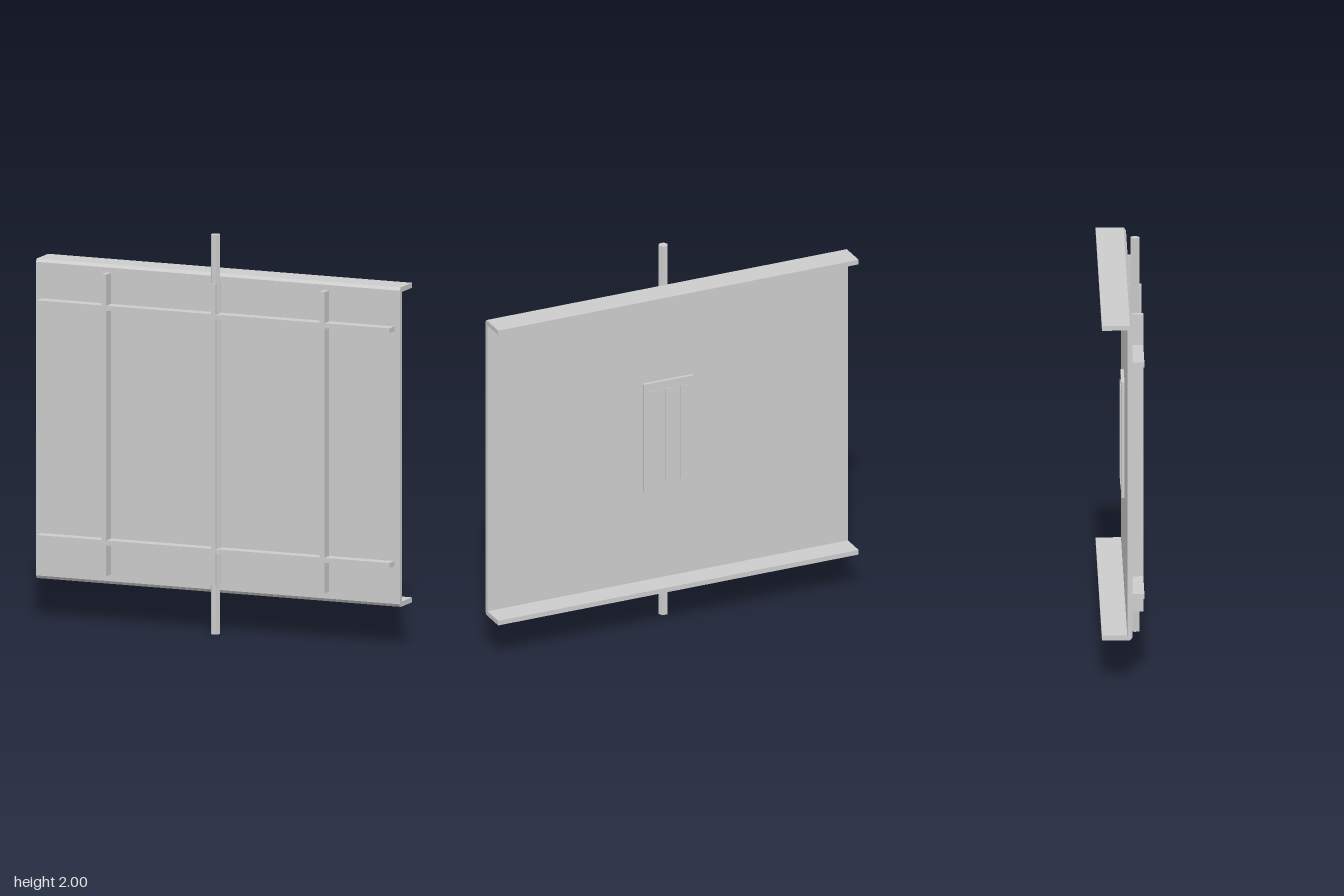
import * as THREE from 'three';

export function createModel() {
  const model = new THREE.Group();
  const grey = new THREE.MeshStandardMaterial({ color: 0xcccccc });
  grey.name = 'light grey';

  const add = (name, geometry, x, y, z) => {
    const mesh = new THREE.Mesh(geometry, grey);
    mesh.name = name;
    mesh.position.set(x, y, z);
    model.add(mesh);
    return mesh;
  };
  const box = (name, w, h, d, x, y, z) => add(name, new THREE.BoxGeometry(w, h, d), x, y, z);

  // Channel-shaped panel: flat face with flanges folded to the back, chamfered folds
  const half = [[-0.105, 0.775], [-0.105, 0.8], [0.033, 0.8], [0.045, 0.785]];
  const points = [
    [0.02, 0.775], ...half,
    ...half.slice().reverse().map(([z, y]) => [z, -y]), [0.02, -0.775],
  ].map(([z, y]) => new THREE.Vector2(-z, y));
  const channel = new THREE.ExtrudeGeometry(new THREE.Shape(points), { depth: 1.96, bevelEnabled: false });
  channel.translate(0, 0, -0.98).rotateY(Math.PI / 2);
  add('panel', channel, 0, 1, 0);

  // Stiffening ribs on the front
  for (const x of [-0.587, 0.002, 0.587]) box('verticalRib', 0.025, 1.51, 0.06, x, 1.005, 0.075);
  for (const y of [0.417, 1.592]) box('horizontalRib', 1.9, 0.025, 0.06, 0, y, 0.075);

  // Six-sided pole through the middle
  const pole = new THREE.CylinderGeometry(0.025, 0.025, 2, 6).toNonIndexed();
  pole.computeVertexNormals();
  add('pole', pole, 0, 1, 0.073).rotation.y = Math.PI / 6;

  // Vent plate with three raised slats on the back
  box('ventPlate', 0.27, 0.585, 0.016, 0, 1.002, 0.012);
  for (const x of [-0.085, 0, 0.085]) box('ventSlat', 0.045, 0.5, 0.006, x, 1, 0.003);

  return model;
}
